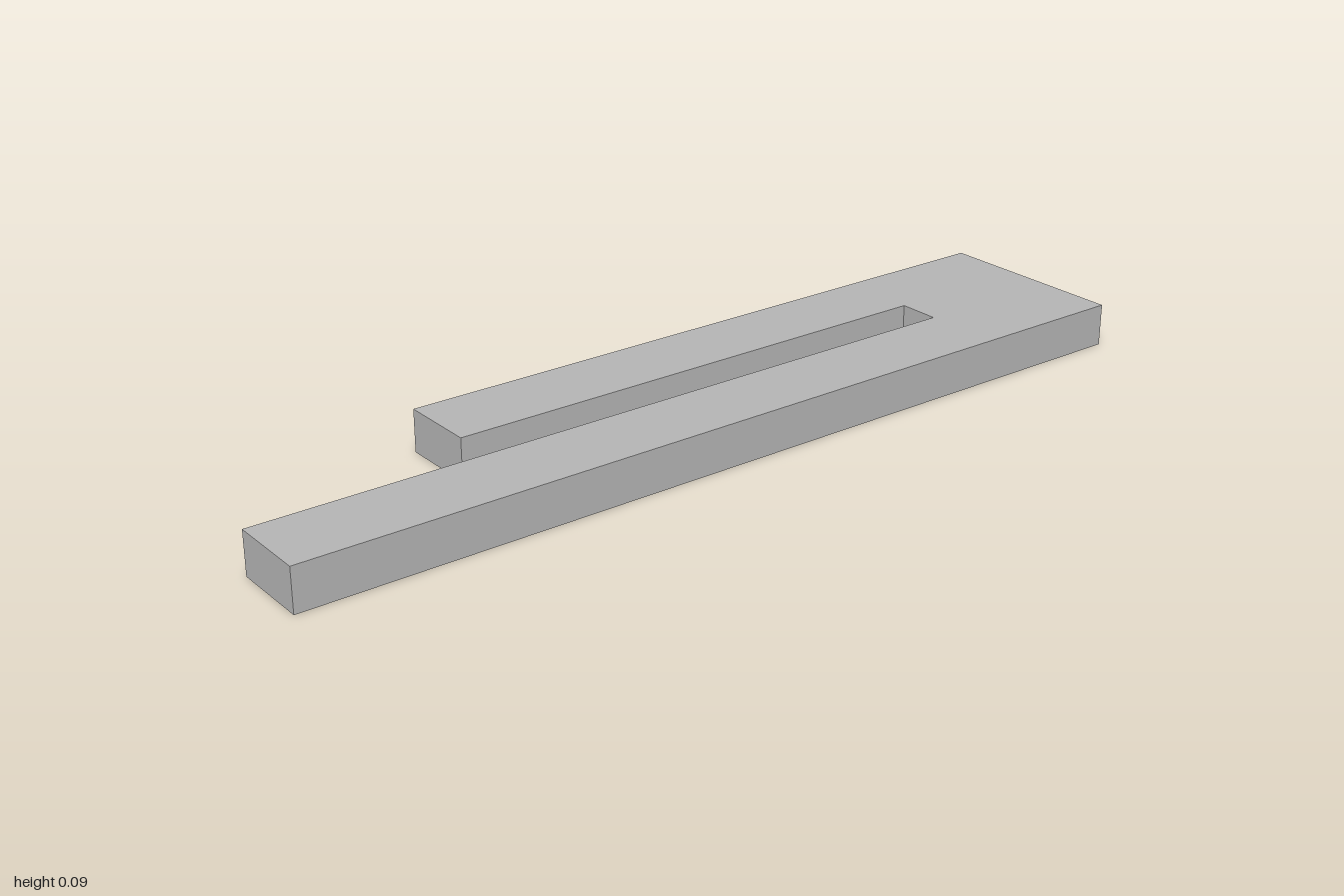
import * as THREE from 'three';

export function createModel() {
  const group = new THREE.Group();
  group.name = 'slottedBar';
  const grey = new THREE.MeshStandardMaterial({ color: 0xb3b3b3 });
  grey.name = 'plain grey';

  const halfDepth = 0.219, halfSlot = 0.046, height = 0.093;
  const shortEnd = -0.497, slotEnd = 0.653;

  // Outline of the two-armed plate: long front arm, short back arm, joined at +x
  const outline = new THREE.Shape([
    [-1, -halfDepth], [1, -halfDepth], [1, halfDepth], [shortEnd, halfDepth],
    [shortEnd, halfSlot], [slotEnd, halfSlot], [slotEnd, -halfSlot], [-1, -halfSlot],
  ].map(([x, y]) => new THREE.Vector2(x, y)));

  // Extrude upwards so that the outline lies flat on the ground
  const geometry = new THREE.ExtrudeGeometry(outline, { depth: height, bevelEnabled: false });
  geometry.rotateX(-Math.PI / 2);

  const plate = new THREE.Mesh(geometry, grey);
  plate.name = 'forkedPlate';
  group.add(plate);
  return group;
}
